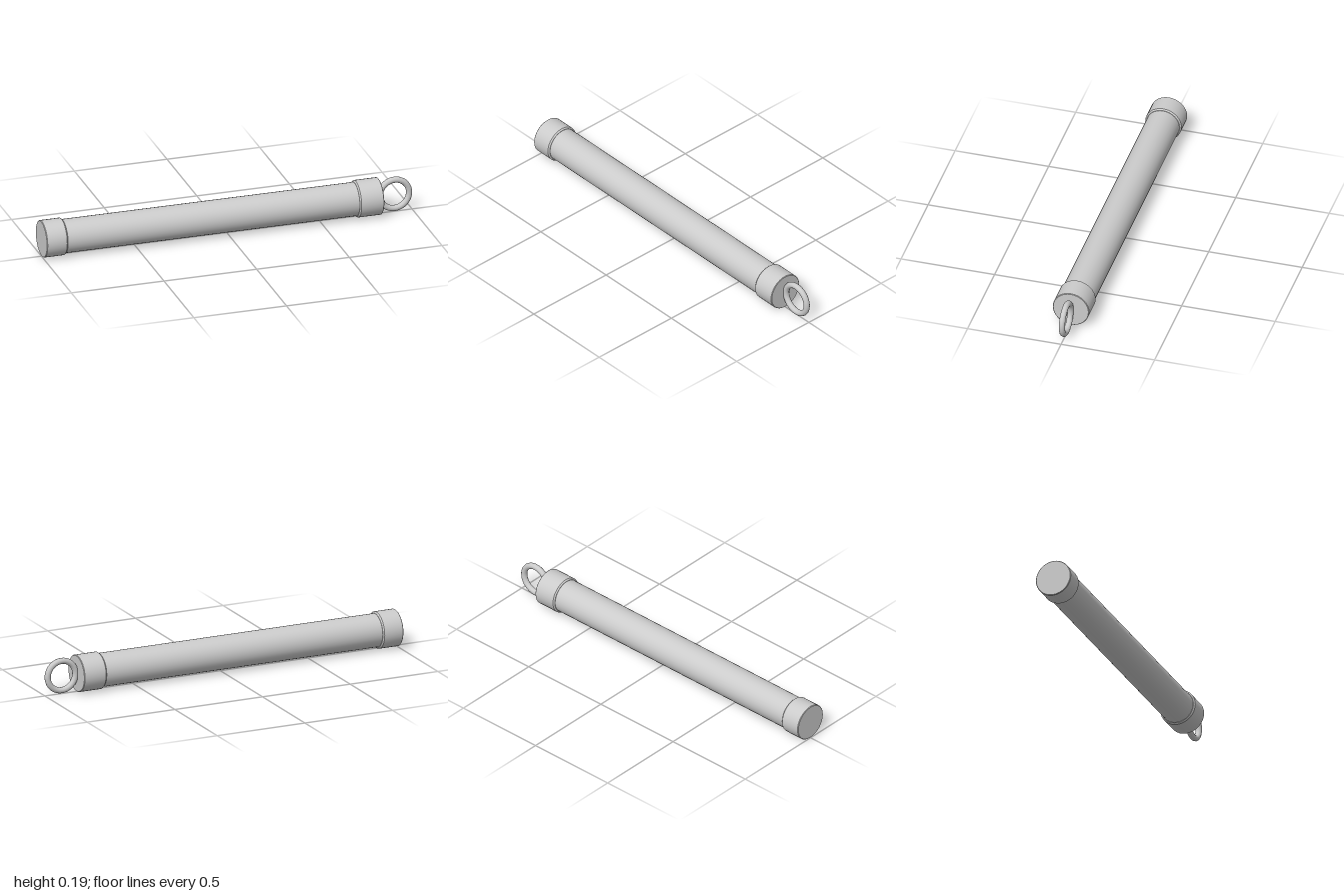
import * as THREE from 'three';
import { toCreasedNormals } from 'three/addons/utils/BufferGeometryUtils.js';

const AXIS_Y = 0.097;
const SIDES = 32;

export function createModel() {
  const group = new THREE.Group();
  const material = new THREE.MeshStandardMaterial({ color: 0xcccccc });

  const add = (name, geometry, x) => {
    const mesh = new THREE.Mesh(geometry, material);
    mesh.name = name;
    mesh.position.set(x, AXIS_Y, 0);
    group.add(mesh);
    return mesh;
  };

  // Solid turned about x: profile rows are [x, radius], from low x to high x
  const turned = (profile) => {
    const points = profile.map(([x, r]) => new THREE.Vector2(r, x));
    const geometry = new THREE.LatheGeometry(points, SIDES);
    geometry.rotateZ(-Math.PI / 2);
    return toCreasedNormals(geometry, 0.5);
  };

  // Cap with a fine edge at its outer face and a wider bevel towards the tube
  const cap = (length) => turned([
    [0, 0], [0, 0.094], [0.003, 0.097],
    [length - 0.007, 0.097], [length, 0.09], [length, 0],
  ]);

  // Long tube
  add('tube', turned([[-0.9, 0], [-0.9, 0.088], [0.7, 0.088], [0.7, 0]]), 0);

  // End caps, the right-hand one turned round to face outwards
  add('endCap', cap(0.115), -1);
  add('ringCap', cap(0.13), 0.82).rotation.y = Math.PI;

  // Hanging ring
  add('hangingRing', new THREE.TorusGeometry(0.079, 0.016, 12, 40), 0.905);

  return group;
}
